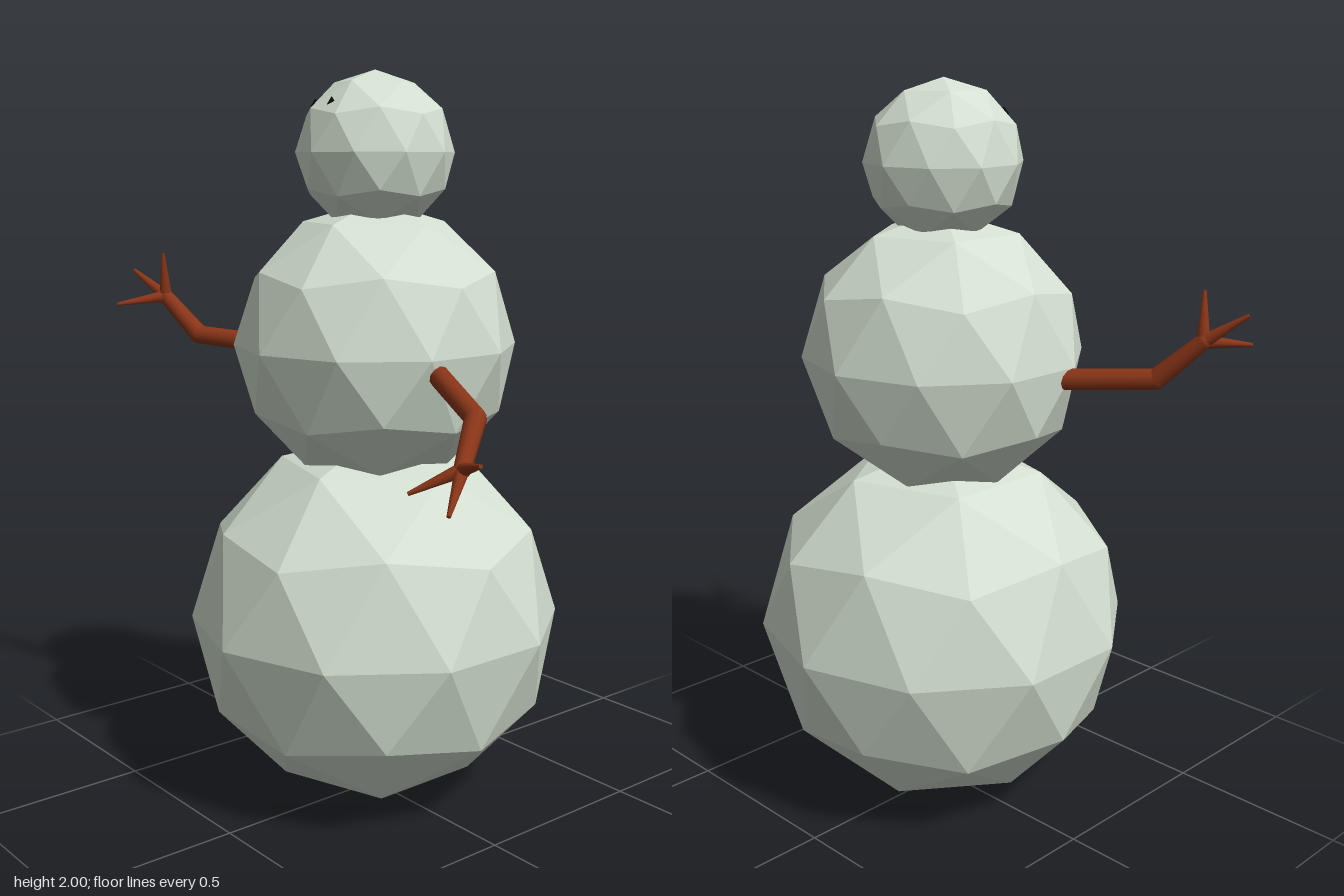
import * as THREE from 'three';

const snowMat = new THREE.MeshStandardMaterial({ color: 0xd3dfd0, flatShading: true });
const woodMat = new THREE.MeshStandardMaterial({ color: 0x8a3518 });
const coalMat = new THREE.MeshStandardMaterial({ color: 0x1c1c1c, flatShading: true });

// Faceted ball with one corner pointing straight up
function snowball(name, radius, y) {
  const geo = new THREE.IcosahedronGeometry(radius, 1);
  geo.rotateZ(-Math.atan(2 / (1 + Math.sqrt(5))));
  const ball = new THREE.Mesh(geo, snowMat);
  ball.name = name;
  ball.position.set(0.004, y, -0.002);
  return ball;
}

// Tapered round stick from a to b
function stick(name, a, b, r0, r1) {
  const dir = b.clone().sub(a);
  const mesh = new THREE.Mesh(new THREE.CylinderGeometry(r1, r0, dir.length(), 10), woodMat);
  mesh.name = name;
  mesh.position.copy(a).add(b).multiplyScalar(0.5);
  mesh.quaternion.setFromUnitVectors(new THREE.Vector3(0, 1, 0), dir.normalize());
  return mesh;
}

function knot(name, p, r) {
  const mesh = new THREE.Mesh(new THREE.SphereGeometry(r, 10, 8), woodMat);
  mesh.name = name;
  mesh.position.copy(p);
  return mesh;
}

// Bent twig arm ending in three pointed fingers
function arm(name, points, tips) {
  const [shoulder, elbow, hand] = points.map((p) => new THREE.Vector3(...p));
  const g = new THREE.Group();
  g.name = name;
  g.add(
    stick('upperArm', shoulder, elbow, 0.028, 0.027),
    knot('elbow', elbow, 0.027),
    stick('forearm', elbow, hand, 0.027, 0.021),
    knot('palm', hand, 0.021)
  );
  for (const t of tips) g.add(stick('finger', hand, new THREE.Vector3(...t), 0.018, 0.005));
  return g;
}

export function createModel() {
  const model = new THREE.Group();
  model.name = 'snowman';

  model.add(
    snowball('base', 0.514, 0.516),
    snowball('torso', 0.383, 1.28),
    snowball('head', 0.212, 1.788)
  );

  // Arms: one drooping, one raised
  model.add(
    arm('leftArm',
      [[0.345, 1.243, 0.08], [0.57, 1.172, 0.16], [0.638, 1.075, 0.265]],
      [[0.752, 1.109, 0.317], [0.69, 0.988, 0.354], [0.56, 1.018, 0.362]]),
    arm('rightArm',
      [[-0.335, 1.249, 0.088], [-0.553, 1.268, 0.205], [-0.66, 1.375, 0.25]],
      [[-0.757, 1.448, 0.297], [-0.645, 1.5, 0.265], [-0.715, 1.355, 0.382]])
  );

  // Small coal chips for eyes
  for (const [name, x, z] of [['rightEye', -0.1, 0.115], ['leftEye', 0.017, 0.152]]) {
    const eye = new THREE.Mesh(new THREE.TetrahedronGeometry(0.017), coalMat);
    eye.name = name;
    eye.position.set(x, 1.916, z);
    model.add(eye);
  }
  return model;
}
